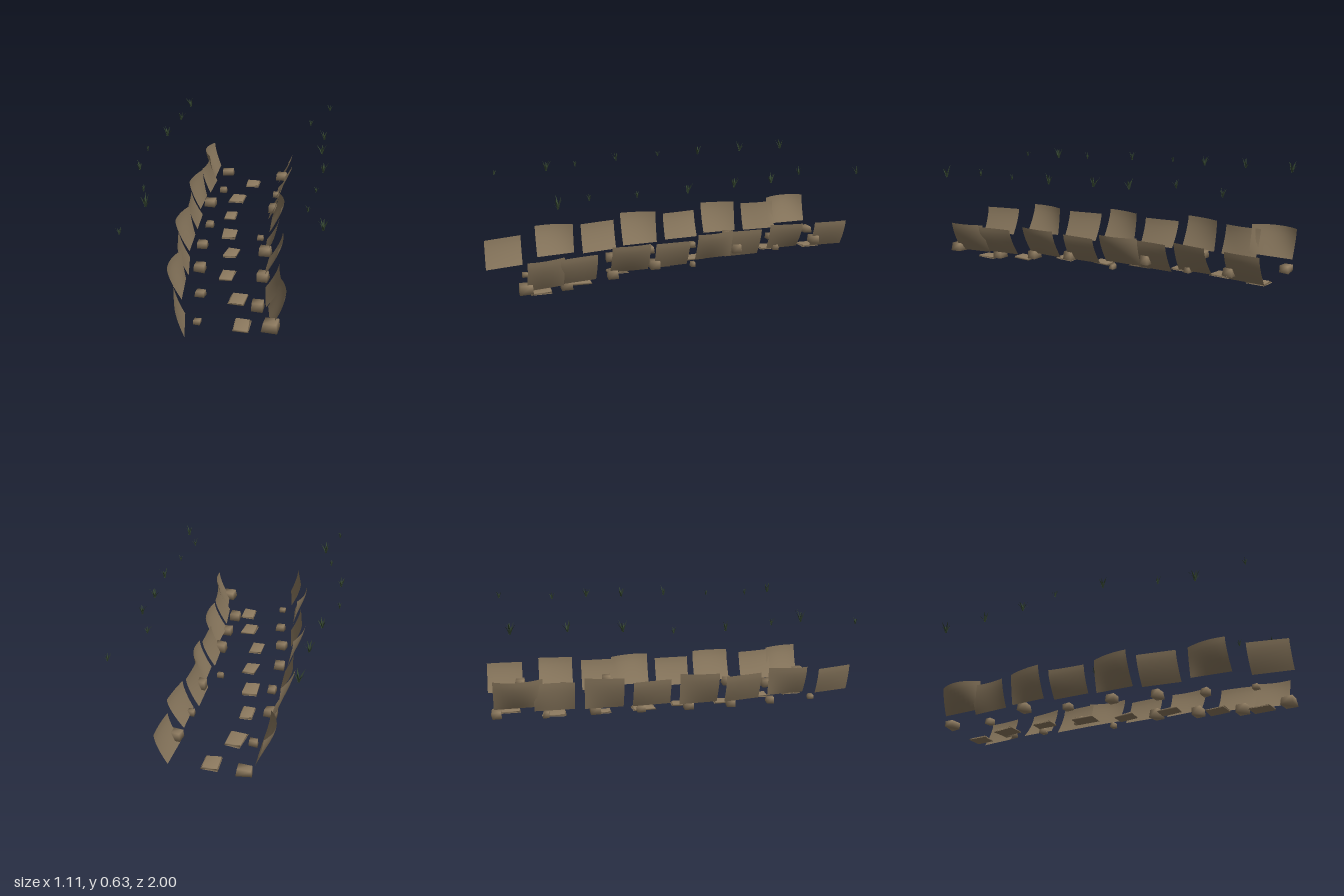
import * as THREE from 'three';
import { mergeVertices } from 'three/addons/utils/BufferGeometryUtils.js';

const bankMat = new THREE.MeshStandardMaterial({ color: 0x84735a, side: THREE.DoubleSide });
bankMat.name = 'earth brown';
const rockMat = new THREE.MeshStandardMaterial({ color: 0x8e7b60 });
rockMat.name = 'stone brown';
const grassMat = new THREE.MeshStandardMaterial({ color: 0x33442f, side: THREE.DoubleSide });
grassMat.name = 'dark grass green';

// small seeded random, -1 to 1
let seed = 7;
const rnd = () => {
  seed = (seed * 16807) % 2147483647;
  return (seed / 2147483647) * 2 - 1;
};

// bank panels: z far, z near, y bottom, y top, bottom x far and near, top x far, middle and near
const rightBanks = [
  [-0.955, -0.71, 0.145, 0.3, -0.33, -0.315, -0.37, -0.4, -0.345],
  [-0.755, -0.55, 0.12, 0.275, -0.31, -0.305, -0.36, -0.345, -0.355],
  [-0.5, -0.3, 0.12, 0.29, -0.315, -0.305, -0.34, -0.365, -0.37],
  [-0.25, -0.05, 0.11, 0.255, -0.28, -0.26, -0.345, -0.325, -0.31],
  [0, 0.205, 0.1, 0.275, -0.26, -0.24, -0.29, -0.315, -0.315],
  [0.25, 0.45, 0.09, 0.245, -0.225, -0.18, -0.285, -0.26, -0.235],
  [0.5, 0.71, 0.1, 0.26, -0.18, -0.145, -0.2, -0.225, -0.215],
  [0.795, 0.995, 0.076, 0.228, -0.105, -0.055, -0.16, -0.13, -0.098],
];
const leftBanks = [
  [-1, -0.81, 0.11, 0.26, 0.077, 0.077, 0.14, 0.145, 0.14],
  [-0.72, -0.535, 0.12, 0.27, 0.093, 0.105, 0.177, 0.172, 0.16],
  [-0.485, -0.29, 0.095, 0.25, 0.093, 0.105, 0.16, 0.16, 0.165],
  [-0.315, -0.105, 0.105, 0.26, 0.125, 0.145, 0.165, 0.21, 0.21],
  [-0.06, 0.13, 0.083, 0.23, 0.14, 0.16, 0.21, 0.215, 0.22],
  [0.17, 0.375, 0.09, 0.248, 0.193, 0.2, 0.265, 0.282, 0.275],
  [0.455, 0.65, 0.07, 0.222, 0.225, 0.262, 0.295, 0.312, 0.338],
  [0.63, 0.82, 0.067, 0.233, 0.27, 0.315, 0.327, 0.37, 0.38],
];

// a sheet curved like the side of a bowl
function bank([z0, z1, y0, y1, b0, b1, t0, tm, t1]) {
  const geo = new THREE.PlaneGeometry(1, 1, 10, 8);
  const p = geo.attributes.position;
  const c = 2 * tm - (t0 + t1) / 2;
  for (let i = 0; i < p.count; i++) {
    const u = p.getX(i) + 0.5;
    const v = p.getY(i) + 0.5;
    const bottom = b0 + (b1 - b0) * u;
    const top = (1 - u) ** 2 * t0 + 2 * u * (1 - u) * c + u * u * t1;
    const lean = 1 - (1 - v) ** 1.5;
    p.setXYZ(i, bottom + (top - bottom) * lean, y0 + (y1 - y0) * v, z0 + (z1 - z0) * u);
  }
  geo.computeVertexNormals();
  return new THREE.Mesh(geo, bankMat);
}

// stones: x, y, z, width, height, depth
const rightRocks = [
  [-0.28, 0.107, -0.945, 0.07, 0.035, 0.05],
  [-0.255, 0.085, -0.695, 0.046, 0.03, 0.032],
  [-0.28, 0.105, -0.445, 0.068, 0.04, 0.052],
  [-0.225, 0.078, -0.2, 0.046, 0.03, 0.046],
  [-0.205, 0.077, 0.06, 0.058, 0.036, 0.05],
  [-0.157, 0.064, 0.3, 0.058, 0.04, 0.048],
  [-0.095, 0.046, 0.54, 0.05, 0.032, 0.04],
  [-0.048, 0.037, 0.79, 0.035, 0.022, 0.03],
];
const leftRocks = [
  [0.096, 0.155, -0.825, 0.06, 0.04, 0.052],
  [0.1, 0.128, -0.59, 0.038, 0.028, 0.033],
  [0.124, 0.145, -0.35, 0.055, 0.045, 0.05],
  [0.092, 0.063, -0.11, 0.037, 0.026, 0.024],
  [0.163, 0.105, 0.125, 0.066, 0.045, 0.055],
  [0.193, 0.08, 0.36, 0.063, 0.042, 0.056],
  [0.212, 0.051, 0.605, 0.06, 0.045, 0.06],
  [0.317, 0.083, 0.825, 0.075, 0.042, 0.066],
];
const slabs = [
  [-0.1, 0.065, -0.88, 0.088, 0.009, 0.105],
  [-0.153, 0.053, -0.65, 0.088, 0.009, 0.118],
  [-0.145, 0.047, -0.405, 0.068, 0.009, 0.112],
  [-0.1, 0.041, -0.17, 0.085, 0.009, 0.118],
  [-0.04, 0.034, 0.05, 0.075, 0.009, 0.11],
  [-0.01, 0.026, 0.29, 0.07, 0.009, 0.114],
  [0.095, 0.019, 0.515, 0.083, 0.009, 0.11],
  [0.16, 0.007, 0.735, 0.08, 0.009, 0.115],
];

// uneven worn block with shared, smooth corners
function stone([x, y, z, w, h, d]) {
  const box = new THREE.BoxGeometry(1, 1, 1);
  box.deleteAttribute('normal');
  box.deleteAttribute('uv');
  const geo = mergeVertices(box);
  const p = geo.attributes.position;
  for (let i = 0; i < p.count; i++) {
    const k = p.getY(i) > 0 ? 0.88 : 1;
    p.setXYZ(
      i,
      (p.getX(i) * k + rnd() * 0.06) * w,
      (p.getY(i) + rnd() * 0.06) * h,
      (p.getZ(i) * k + rnd() * 0.06) * d,
    );
  }
  geo.computeVertexNormals();
  const mesh = new THREE.Mesh(geo, rockMat);
  mesh.position.set(x, y, z);
  mesh.rotation.y = rnd() * 0.08;
  return mesh;
}

// grass tufts: x, base y, z, height
const rightTufts = [
  [-0.5, 0.57, -0.855, 0.065], [-0.49, 0.57, -0.585, 0.057], [-0.5, 0.56, -0.32, 0.058],
  [-0.543, 0.553, -0.08, 0.035], [-0.505, 0.547, 0.185, 0.052], [-0.403, 0.543, 0.445, 0.042],
  [-0.338, 0.54, 0.62, 0.063], [-0.372, 0.525, 0.905, 0.037],
];
const leftTufts = [
  [0.375, 0.577, -0.925, 0.042], [0.295, 0.576, -0.63, 0.044], [0.4, 0.563, -0.43, 0.06],
  [0.412, 0.555, -0.225, 0.062], [0.45, 0.548, 0.03, 0.057], [0.445, 0.543, 0.285, 0.035],
  [0.437, 0.54, 0.52, 0.04], [0.53, 0.53, 0.685, 0.062],
];

// a fan of narrow pointed blades growing from one root
function tuft([x, y, z, h]) {
  const pts = [];
  const turn = rnd() * 3;
  const n = 6;
  for (let i = 0; i < n; i++) {
    const a = turn + (i / n) * Math.PI * 2 + rnd() * 0.25;
    const cx = Math.cos(a), cz = Math.sin(a);
    const half = h * 0.085;
    const reach = h * (0.4 + 0.2 * rnd());
    const tall = h * (0.87 + 0.18 * rnd());
    const at = (s, q, yy) => [cx * s - cz * q, yy, cz * s + cx * q];
    const mid = reach * 0.4;
    const [b0, b1] = [at(0, -half, 0), at(0, half, 0)];
    const [m0, m1] = [at(mid, -half * 0.8, tall * 0.5), at(mid, half * 0.8, tall * 0.5)];
    pts.push(...b0, ...m0, ...b1, ...b1, ...m0, ...m1, ...m0, ...at(reach, 0, tall), ...m1);
  }
  const geo = new THREE.BufferGeometry();
  geo.setAttribute('position', new THREE.Float32BufferAttribute(pts, 3));
  geo.computeVertexNormals();
  const mesh = new THREE.Mesh(geo, grassMat);
  mesh.position.set(x, y, z);
  return mesh;
}

export function createModel() {
  const model = new THREE.Group();
  model.name = 'dryStreamBed';
  const row = (name, list, make) => {
    const group = new THREE.Group();
    group.name = name + 's';
    list.forEach((data, i) => {
      const mesh = make(data);
      mesh.name = name + (i + 1);
      group.add(mesh);
    });
    model.add(group);
  };
  row('rightBankPanel', rightBanks, bank);
  row('leftBankPanel', leftBanks, bank);
  row('bedSlab', slabs, stone);
  row('rightRock', rightRocks, stone);
  row('leftRock', leftRocks, stone);
  row('rightGrassTuft', rightTufts, tuft);
  row('leftGrassTuft', leftTufts, tuft);
  return model;
}
